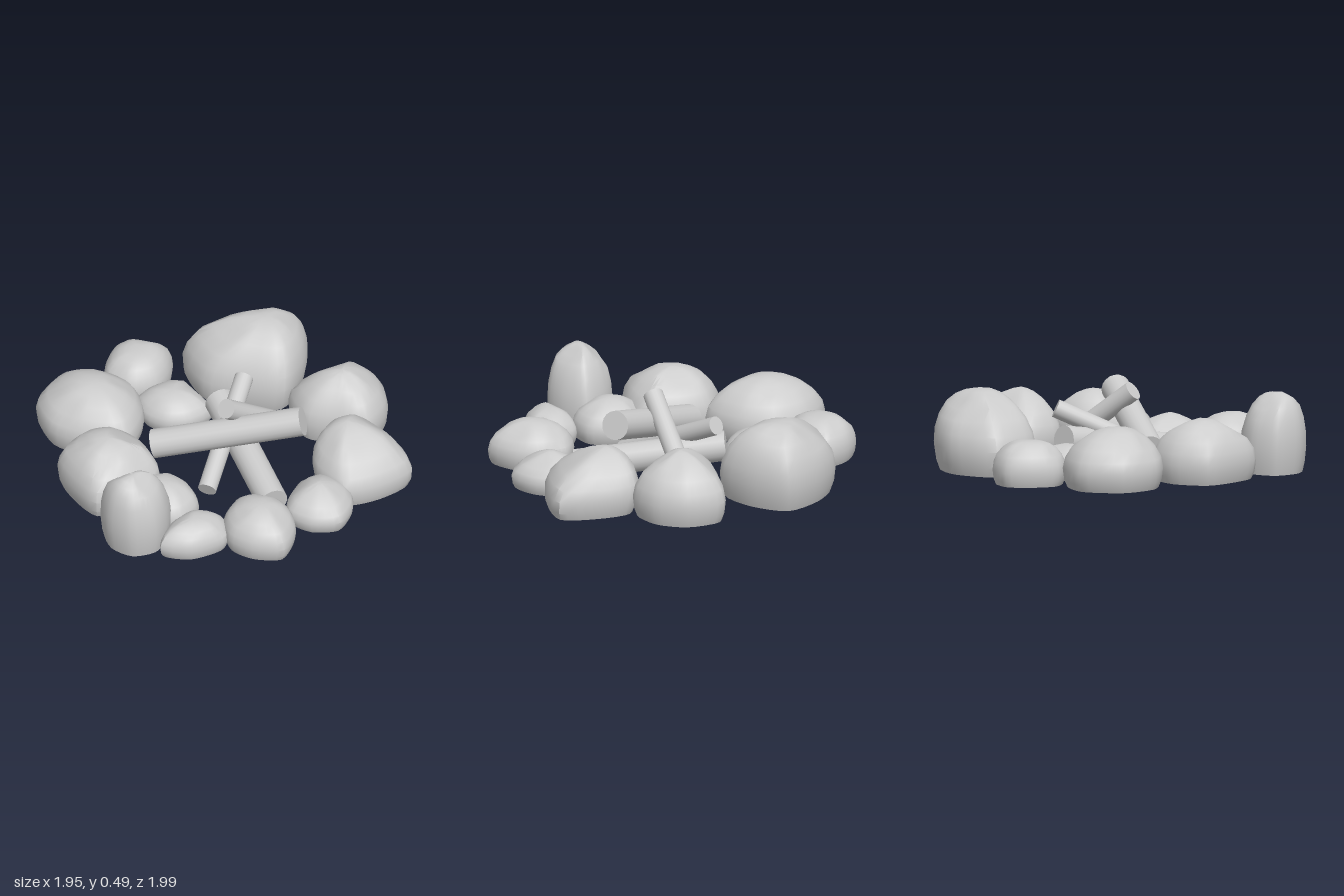
import * as THREE from 'three';
import { toCreasedNormals } from 'three/addons/utils/BufferGeometryUtils.js';

const BASE = 0.042; // height of the stones' flat undersides
const SIDES = 32;

// Stone cross-sections: [height fraction, plan scale]
const PROFILE = [[0, 0.91], [0.12, 0.97], [0.32, 1], [0.5, 0.97], [0.68, 0.88],
  [0.83, 0.74], [0.93, 0.56], [0.98, 0.38], [1, 0.18]];

function seeded(seed) {
  let s = seed * 7919 + 17;
  return () => (s = (s * 16807) % 2147483647) / 2147483647;
}

// Smooth closed plan from radii spaced evenly around the centre, starting at +x towards +z
function planOutline(radii) {
  const corners = radii.map((r, i) => {
    const a = i / radii.length * Math.PI * 2;
    return new THREE.Vector3(r * Math.cos(a), 0, r * Math.sin(a));
  });
  const curve = new THREE.CatmullRomCurve3(corners, true, 'catmullrom', 0.4);
  return curve.getPoints(SIDES).slice(0, SIDES);
}

// Shave the shoulders with a few shallow chiselled faces
function chisel(points, height, rand) {
  for (let k = 0; k < 4; k++) {
    const a = (k + rand()) * Math.PI / 2;
    const n = new THREE.Vector3(Math.cos(a), 1 + rand() * 0.8, Math.sin(a)).normalize();
    const limit = Math.max(...points.map(p => p.dot(n))) - height * (0.02 + rand() * 0.03);
    for (const p of points) {
      const over = p.dot(n) - limit;
      if (over > 0) p.addScaledVector(n, -over);
    }
  }
}

function stoneGeometry({ radii, height, taper = 1.4, lean = [0, 0], open = false }, seed) {
  const edge = planOutline(radii);

  // Stacked rings drifting from the ground centre to the peak
  const points = [];
  for (const [t, s] of PROFILE) {
    const scale = t > 0.32 ? Math.pow(s, taper) : s;
    for (const p of edge) {
      points.push(new THREE.Vector3(
        p.x * scale + lean[0] * t * t, t * (height - BASE), p.z * scale + lean[1] * t * t));
    }
  }
  const tip = points.push(new THREE.Vector3(lean[0], height - BASE, lean[1])) - 1;
  chisel(points, height, seeded(seed));

  const index = [];
  const last = PROFILE.length - 1;
  for (let i = 0; i <= last; i++) {
    for (let j = 0; j < SIDES; j++) {
      const a = i * SIDES + j, b = i * SIDES + (j + 1) % SIDES;
      if (i === last) index.push(a, tip, b);
      else index.push(a, a + SIDES, b, b, a + SIDES, b + SIDES);
    }
  }
  // Flat underside
  if (!open) {
    const hub = points.push(new THREE.Vector3()) - 1;
    for (let j = 0; j < SIDES; j++) index.push(j, (j + 1) % SIDES, hub);
  }
  const geometry = new THREE.BufferGeometry().setFromPoints(points);
  geometry.setIndex(index);
  return toCreasedNormals(geometry, 0.65);
}

// Stones: plan centre and radii, top height, taper of the upper half, offset of the peak, underside open or not
const STONES = [
  { name: 'backLeftStone', centre: [-0.45, -0.58], radii: [0.28, 0.28, 0.33, 0.26, 0.28, 0.32, 0.33, 0.29], height: 0.365, taper: 1.5 },
  { name: 'backStone', centre: [-0.02, -0.8], radii: [0.215, 0.18, 0.19, 0.21, 0.21, 0.18, 0.2, 0.19], height: 0.28, taper: 1, open: true },
  { name: 'backInnerStone', centre: [-0.02, -0.45], radii: [0.16, 0.22, 0.18, 0.17, 0.18, 0.21, 0.18, 0.21], height: 0.22, open: true },
  { name: 'backRightStone', centre: [0.5, -0.47], radii: [0.33, 0.29, 0.32, 0.25, 0.32, 0.39, 0.32, 0.285], height: 0.475, taper: 1.3, lean: [0.07, 0.02] },
  { name: 'rightStone', centre: [0.71, 0.11], radii: [0.26, 0.25, 0.26, 0.2, 0.26, 0.3, 0.23, 0.29], height: 0.405, taper: 1.8 },
  { name: 'frontRightStone', centre: [0.5, 0.56], radii: [0.25, 0.32, 0.26, 0.285, 0.24, 0.23, 0.24, 0.28], height: 0.375, taper: 1.8, lean: [0, -0.08] },
  { name: 'frontMiddleStone', centre: [0.16, 0.72], radii: [0.2, 0.19, 0.215, 0.2, 0.2, 0.17, 0.19, 0.23], height: 0.245, taper: 2.2, open: true },
  { name: 'frontStone', centre: [-0.24, 0.75], radii: [0.2, 0.2, 0.24, 0.2, 0.2, 0.205, 0.235, 0.235], height: 0.28 },
  { name: 'frontLeftStone', centre: [-0.57, 0.59], radii: [0.21, 0.19, 0.14, 0.155, 0.21, 0.14, 0.13, 0.18], height: 0.22, taper: 1.2, open: true },
  { name: 'leftInnerStone', centre: [-0.56, 0.26], radii: [0.19, 0.21, 0.205, 0.18, 0.18, 0.195, 0.2, 0.2], height: 0.26, open: true },
  { name: 'tallLeftStone', centre: [-0.78, 0.38], radii: [0.2, 0.165, 0.175, 0.19, 0.195, 0.21, 0.18, 0.165], height: 0.48, taper: 1.1, lean: [-0.04, 0], open: true },
  { name: 'leftStone', centre: [-0.67, -0.1], radii: [0.25, 0.29, 0.26, 0.3, 0.24, 0.28, 0.27, 0.27], height: 0.375 }
];

// Logs: both end centres and radius
const LOGS = [
  { name: 'bigUpperLog', from: [-0.35, 0.18, -0.14], to: [0.275, 0.405, 0.385], radius: 0.08 },
  { name: 'thinLeaningLog', from: [0.37, 0.14, 0.03], to: [-0.045, 0.45, 0.115], radius: 0.055 },
  { name: 'thinCrossingLog', from: [-0.25, 0.065, 0.24], to: [0.26, 0.36, -0.175], radius: 0.051 },
  { name: 'thickGroundLog', from: [-0.025, 0.083, 0.55], to: [0.15, 0.2, -0.25], radius: 0.083 }
];

function logMesh({ name, from, to, radius }, material) {
  const a = new THREE.Vector3(...from), b = new THREE.Vector3(...to);
  const axis = b.clone().sub(a);
  const mesh = new THREE.Mesh(
    new THREE.CylinderGeometry(radius, radius, axis.length(), 18), material);
  mesh.position.copy(a).add(b).multiplyScalar(0.5);
  mesh.quaternion.setFromUnitVectors(new THREE.Vector3(0, 1, 0), axis.normalize());
  mesh.name = name;
  return mesh;
}

export function createModel() {
  const group = new THREE.Group();
  group.name = 'campfireRing';
  const grey = new THREE.MeshStandardMaterial({ color: 0xcccccc, side: THREE.DoubleSide });
  grey.name = 'light grey';

  const stones = new THREE.Group();
  stones.name = 'stoneRing';
  STONES.forEach((stone, i) => {
    const mesh = new THREE.Mesh(stoneGeometry(stone, i + 1), grey);
    mesh.position.set(stone.centre[0], BASE, stone.centre[1]);
    mesh.name = stone.name;
    stones.add(mesh);
  });

  const logs = new THREE.Group();
  logs.name = 'logPile';
  for (const log of LOGS) logs.add(logMesh(log, grey));

  group.add(stones, logs);
  return group;
}
